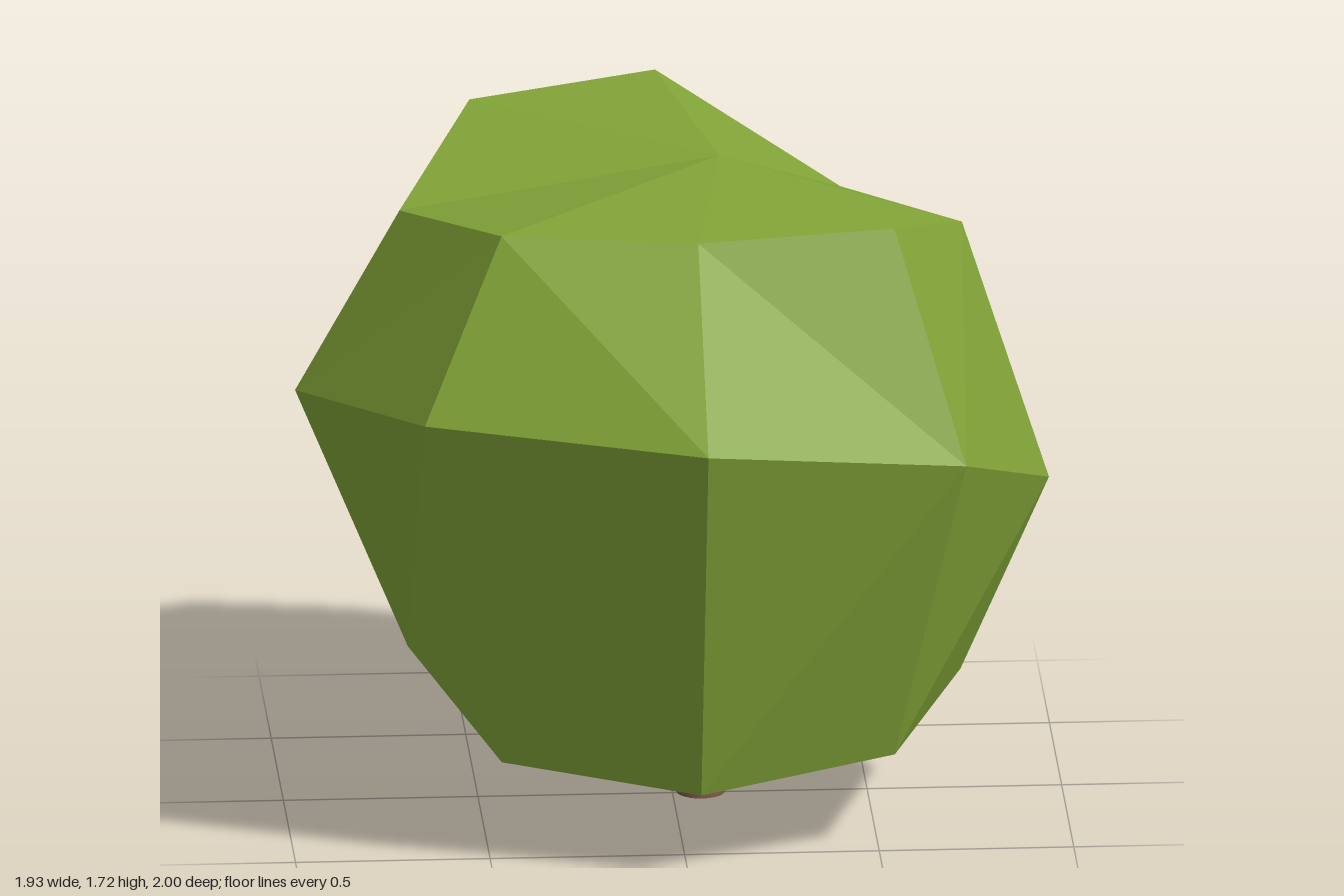
import * as THREE from 'three';

// Faceted crown: three eight-sided rings between a top and a bottom point
const UPPER = [[-0.70, 1.58, -0.03], [-0.47, 1.68, 0.49], [0.03, 1.68, 0.58], [0.54, 1.68, 0.49],
  [0.74, 1.55, 0.06], [0.46, 1.48, -0.45], [0.00, 1.715, -0.72], [-0.49, 1.715, -0.51]];
const MIDDLE = [[-0.97, 1.11, 0.00], [-0.68, 1.24, 0.70], [0.03, 1.24, 1.00], [0.71, 1.11, 0.72],
  [0.96, 0.875, 0.12], [0.74, 0.875, -0.71], [-0.05, 1.03, -1.00], [-0.68, 1.12, -0.62]];
const LOWER = [[-0.68, 0.41, 0.00], [-0.47, 0.26, 0.50], [0.03, 0.23, 0.71], [0.54, 0.26, 0.50],
  [0.74, 0.32, 0.00], [0.53, 0.32, -0.50], [0.03, 0.41, -0.71], [-0.47, 0.41, -0.50]];
const TOP = [0.12, 1.715, -0.02];
const BOTTOM = [0.03, 0.165, -0.23];

// Which way each panel folds: '1' runs from upper left to lower right
const UPPER_FOLDS = '01100110';
const LOWER_FOLDS = '00000111';

function crownGeometry() {
  const positions = [];
  const tri = (...corners) => corners.forEach((p) => positions.push(...p));

  const band = (high, low, folds) => {
    for (let i = 0; i < 8; i++) {
      const j = (i + 1) % 8;
      if (folds[i] === '1') {
        tri(high[i], low[i], low[j]);
        tri(high[i], low[j], high[j]);
      } else {
        tri(high[i], low[i], high[j]);
        tri(high[j], low[i], low[j]);
      }
    }
  };

  band(UPPER, MIDDLE, UPPER_FOLDS);
  band(MIDDLE, LOWER, LOWER_FOLDS);
  for (let i = 0; i < 8; i++) {
    const j = (i + 1) % 8;
    tri(TOP, UPPER[i], UPPER[j]);
    tri(BOTTOM, LOWER[j], LOWER[i]);
  }

  const geometry = new THREE.BufferGeometry();
  geometry.setAttribute('position', new THREE.Float32BufferAttribute(positions, 3));
  geometry.computeVertexNormals();
  return geometry;
}

export function createModel() {
  const leafGreen = new THREE.MeshStandardMaterial({ name: 'leafGreen', color: 0x82a438 });
  const barkBrown = new THREE.MeshStandardMaterial({ name: 'barkBrown', color: 0x7d5748 });

  const model = new THREE.Group();
  model.name = 'tree';

  const crown = new THREE.Mesh(crownGeometry(), leafGreen);
  crown.name = 'crown';
  model.add(crown);

  // Hollow tapered trunk: inner wall, bottom rim and outer wall, with sharp edges between
  const trunk = new THREE.Group();
  trunk.name = 'trunk';
  trunk.position.set(0.073, 0, -0.01);
  const profile = [[0.042, 0.3], [0.046, 0], [0.063, 0], [0.048, 0.3]].map(([r, y]) => new THREE.Vector2(r, y));
  ['trunkInside', 'trunkRim', 'trunkOutside'].forEach((name, i) => {
    const mesh = new THREE.Mesh(new THREE.LatheGeometry(profile.slice(i, i + 2), 24), barkBrown);
    mesh.name = name;
    trunk.add(mesh);
  });
  model.add(trunk);

  return model;
}
